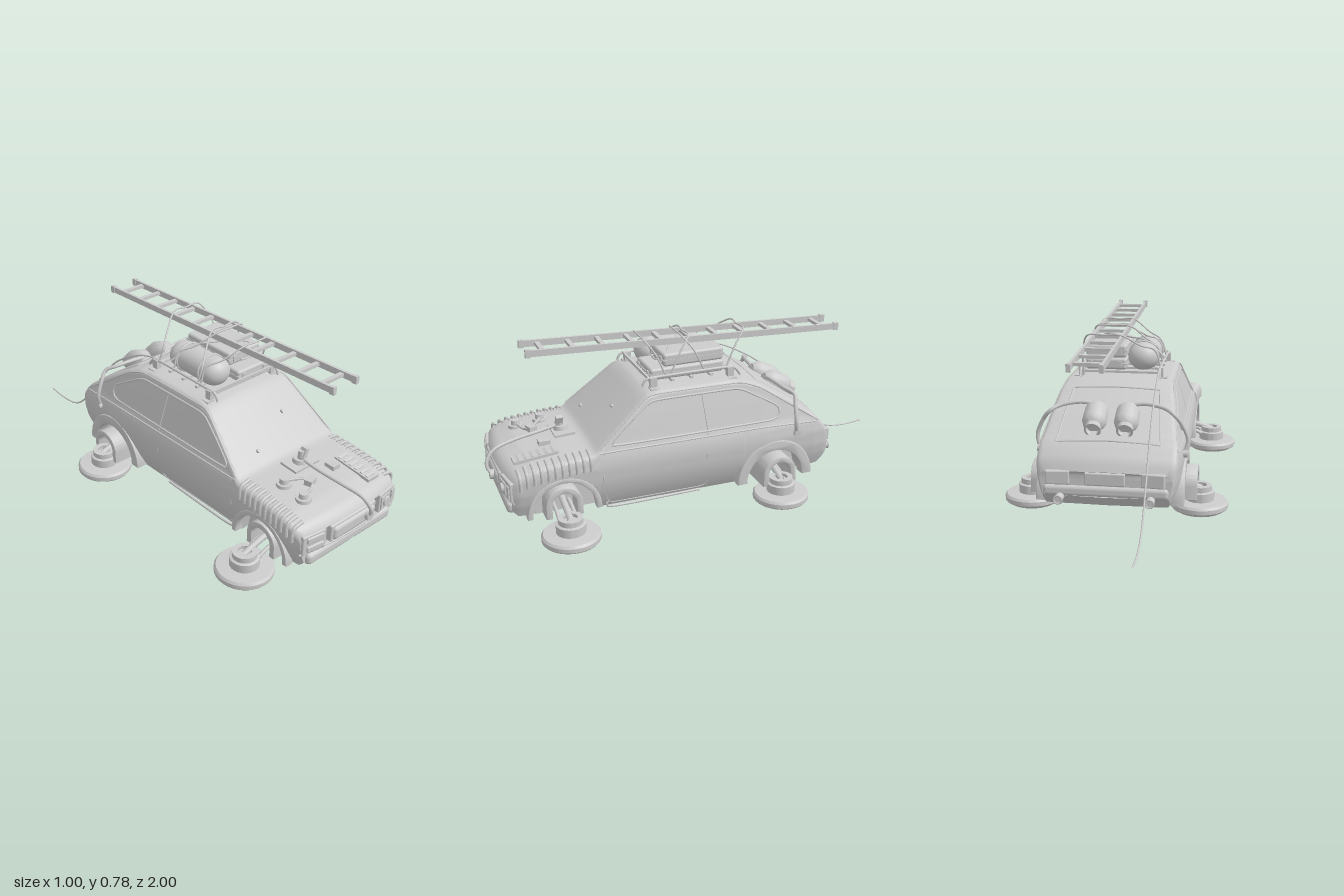
import * as THREE from 'three';
import { toCreasedNormals } from 'three/addons/utils/BufferGeometryUtils.js';
import { RoundedBoxGeometry } from 'three/addons/geometries/RoundedBoxGeometry.js';

const mat = new THREE.MeshStandardMaterial({ color: 0xcccccc, side: THREE.DoubleSide });
const V = (x, y, z) => new THREE.Vector3(x, y, z);

// Piecewise-linear lookup in a list of [position, value]
function look(t, p) {
  if (p <= t[0][0]) return t[0][1];
  for (let i = 1; i < t.length; i++) {
    if (p <= t[i][0]) {
      const k = (p - t[i - 1][0]) / (t[i][0] - t[i - 1][0]);
      return t[i - 1][1] + k * (t[i][1] - t[i - 1][1]);
    }
  }
  return t[t.length - 1][1];
}

// Body rules: top height and width scale along z, half width along y, lower edge along z
const TOP = [[-0.55, 0.25], [-0.53, 0.295], [-0.48, 0.345], [-0.34, 0.445], [-0.2, 0.53], [-0.13, 0.557], [-0.05, 0.566],
  [0.27, 0.566], [0.32, 0.555], [0.35, 0.536], [0.575, 0.348], [0.6, 0.343], [0.7, 0.338], [0.85, 0.322], [0.92, 0.3], [0.945, 0.283], [0.957, 0.262]];
const WIDTH = [[-0.55, 0.92], [-0.53, 0.96], [-0.45, 1.0], [-0.2, 1.04], [0.3, 1.0], [0.6, 0.98], [0.85, 0.98], [0.93, 0.96], [0.957, 0.92]];
const SIDE = [[0.065, 0.25], [0.1, 0.27], [0.15, 0.29], [0.2, 0.302], [0.27, 0.306], [0.32, 0.298], [0.35, 0.285], [0.45, 0.258], [0.53, 0.235], [0.57, 0.215]];
const BOTTOM = [[-0.55, 0.14], [-0.5, 0.09], [-0.42, 0.085], [-0.39, 0.067], [0.58, 0.067], [0.85, 0.095], [0.93, 0.1], [0.957, 0.125]];
const ARCHES = [{ z: 0.72, y: 0.095 }, { z: -0.25, y: 0.08 }];
const ARCH_R = 0.145;
const sideX = (z, y) => look(SIDE, y) * look(WIDTH, z);

function lowerEdge(z) {
  let y = look(BOTTOM, z);
  for (const a of ARCHES) {
    const d = Math.abs(z - a.z);
    if (d < ARCH_R) y = Math.max(y, a.y + Math.sqrt(ARCH_R ** 2 - d * d));
  }
  return y;
}

// Half section from the underside centre, up the side, over to the roof centre
function halfSection(z) {
  const yb = lowerEdge(z), T = look(TOP, z), r = 0.026, crown = 0.012;
  const pts = [[0, yb]], yr = Math.max(T - r - crown, yb + 0.002);
  for (let i = 0; i <= 18; i++) {
    const y = yb + (yr - yb) * i / 18;
    pts.push([sideX(z, y), y]);
  }
  const xe = sideX(z, yr) - r;
  for (let i = 1; i <= 5; i++) {
    const a = i / 5 * Math.PI / 2;
    pts.push([xe + r * Math.cos(a), yr + r * Math.sin(a)]);
  }
  for (let i = 1; i <= 6; i++) {
    const k = 1 - i / 6;
    pts.push([xe * k, yr + r + crown * (1 - k * k)]);
  }
  return pts;
}

function bodyGeometry() {
  const zs = [], pos = [], idx = [], n = 120;
  for (let i = 0; i <= n; i++) zs.push(-0.55 + 1.507 * i / n);
  const rows = zs.map(z => {
    const h = halfSection(z);
    const full = h.concat(h.slice(0, -1).reverse().map(([x, y]) => [-x, y]));
    const bend = z > 0.8 ? 0.03 * (z - 0.8) / 0.157 : z < -0.45 ? -0.02 * (-0.45 - z) / 0.1 : 0;
    return full.map(([x, y]) => [x, y, z - bend * (x / 0.3) ** 2]);
  });
  // Flat nose and tail caps
  rows.unshift(rows[0].map(([x, y, z]) => [0, y, z]));
  rows.push(rows[rows.length - 1].map(([x, y, z]) => [0, y, z]));
  const m = rows[0].length;
  rows.forEach(r => r.forEach(p => pos.push(...p)));
  for (let i = 0; i < rows.length - 1; i++) for (let j = 0; j < m - 1; j++) {
    const a = i * m + j, b = a + 1, c = a + m, d = c + 1;
    idx.push(a, b, c, b, d, c);
  }
  const g = new THREE.BufferGeometry();
  g.setAttribute('position', new THREE.Float32BufferAttribute(pos, 3));
  g.setIndex(idx);
  return toCreasedNormals(g, 0.6);
}

export function createModel() {
  const root = new THREE.Group();
  const add = (name, geo, x = 0, y = 0, z = 0, rx = 0, ry = 0, rz = 0) => {
    const m = new THREE.Mesh(geo, mat);
    m.name = name; m.position.set(x, y, z); m.rotation.set(rx, ry, rz);
    root.add(m);
    return m;
  };
  const box = (name, w, h, d, x, y, z, rx = 0, ry = 0, rz = 0) => add(name, new THREE.BoxGeometry(w, h, d), x, y, z, rx, ry, rz);
  const rbox = (name, w, h, d, r, x, y, z, rx = 0) => add(name, new RoundedBoxGeometry(w, h, d, 3, r), x, y, z, rx);
  const cyl = (name, r1, r2, h, x, y, z, rx = 0, rz = 0) => add(name, new THREE.CylinderGeometry(r1, r2, h, 24), x, y, z, rx, 0, rz);
  const tube = (name, pts, r, closed = false, tension = 0.5) => add(name, new THREE.TubeGeometry(
    new THREE.CatmullRomCurve3(pts.map(p => V(...p)), closed, 'catmullrom', tension), pts.length * 8, r, 8, closed));
  // Line lying on a body side, from [z, y] points
  const seam = (name, s, pts, r, closed) => tube(name, pts.map(([z, y]) => [s * sideX(z, y), y, z]), r, closed, 0.15);
  // Arch plate in the z-y plane, extruded outwards along x
  const arch = (name, s, z, y, ri, ro, x0, x1, leg = 0) => {
    const sh = new THREE.Shape();
    sh.moveTo(ro, -leg); sh.lineTo(ro, 0); sh.absarc(0, 0, ro, 0, Math.PI); sh.lineTo(-ro, -leg);
    sh.lineTo(-ri, -leg); sh.lineTo(-ri, 0); sh.absarc(0, 0, ri, Math.PI, 0, true); sh.lineTo(ri, -leg);
    const g = new THREE.ExtrudeGeometry(sh, { depth: x1 - x0, bevelEnabled: true, bevelSize: 0.005, bevelThickness: 0.005, bevelSegments: 2, curveSegments: 24 });
    g.rotateY(Math.PI / 2);
    return add(name, toCreasedNormals(g, 0.7), s > 0 ? x0 : -x1, y, z);
  };

  add('carBody', bodyGeometry());
  box('floorPan', 0.42, 0.19, 1.27, 0, 0.162, 0.2);

  // Hover pads: lathed disc with a hub and a recessed underside
  const pad = toCreasedNormals(new THREE.LatheGeometry([[0, 0.025], [0.06, 0.022], [0.065, 0.002], [0.1, 0], [0.106, 0.009], [0.12, 0.012], [0.125, 0.018],
    [0.125, 0.036], [0.117, 0.046], [0.063, 0.05], [0.063, 0.088], [0.052, 0.092], [0.052, 0.115], [0.03, 0.115], [0.03, 0.1], [0, 0.1]]
    .map(p => new THREE.Vector2(...p)), 48), 0.6);

  for (const s of [1, -1]) {
    const side = s > 0 ? 'left' : 'right';
    ARCHES.forEach((a, i) => {
      const n = side + (i ? 'Rear' : 'Front');
      add(n + 'HoverPad', pad, s * 0.375, 0, a.z);
      tube(n + 'PadArm', [[s * 0.38, 0.1, a.z], [s * 0.3, 0.125, a.z], [s * 0.2, 0.15, a.z]], 0.014);
      for (const d of [-0.035, 0.035]) tube(n + 'PadStrut', [[s * 0.34, 0.075, a.z + d], [s * 0.28, 0.1, a.z + d], [s * 0.2, 0.11, a.z + d]], 0.009);
      arch(n + 'PadHood', s, a.z, 0.125, 0.058, 0.075, i ? 0.21 : 0.2, i ? 0.362 : 0.285, 0.05);
      arch(n + 'ArchLip', s, a.z, a.y, ARCH_R - 0.003, ARCH_R + (i ? 0.034 : 0.01), 0.265, i ? 0.314 : 0.296);
    });
    // Door seams, window frame and sill
    seam(side + 'DoorSeam', s, [[0.08, 0.51], [0.07, 0.36], [0.08, 0.25], [0.07, 0.1], [0.11, 0.082], [0.5, 0.082], [0.535, 0.12], [0.55, 0.22], [0.54, 0.33]], 0.003);
    seam(side + 'WindowFrame', s, [[0.5, 0.36], [0.33, 0.505], [0.28, 0.518], [-0.07, 0.518], [-0.12, 0.505], [-0.27, 0.42], [-0.28, 0.385], [-0.23, 0.36]], 0.005, true);
    seam(side + 'Beltline', s, [[0.56, 0.335], [0.2, 0.335], [-0.2, 0.335], [-0.46, 0.32]], 0.004);
    seam(side + 'Gutter', s, [[0.56, 0.345], [0.335, 0.53], [0.28, 0.542], [-0.1, 0.54], [-0.2, 0.505], [-0.47, 0.325]], 0.004);
    tube(side + 'DoorCable', [[0.52, 0.1], [0.5, 0.066], [0.1, 0.066]].map(([z, y]) => [s * 0.262, y, z]), 0.006);

    // Ribbed louvres along the bonnet edges
    for (let i = 0; i < 11; i++) {
      const z = 0.6 + i * 0.03, T = look(TOP, z), w = sideX(z, T - 0.04);
      tube(side + 'BonnetLouvre', [[s * (w + 0.003), T - 0.075, z], [s * (w + 0.002), T - 0.035, z], [s * (w - 0.012), T - 0.012, z], [s * (w - 0.055), T - 0.003, z]], 0.008);
    }
    // Headlight units
    rbox(side + 'HeadlightFrame', 0.115, 0.09, 0.03, 0.006, s * 0.218, 0.217, 0.935).rotation.y = s * 0.14;
    if (s < 0) for (const y of [0.196, 0.238]) rbox('rightHeadlight', 0.085, 0.028, 0.02, 0.006, -0.215, y, 0.947).rotation.y = -0.14;
    else {
      box('leftHeadlight', 0.06, 0.06, 0.02, 0.2, 0.217, 0.948, 0, 0.14);
      cyl('brokenLamp', 0.02, 0.024, 0.02, 0.205, 0.217, 0.957, Math.PI / 2);
      box('leftIndicator', 0.025, 0.06, 0.02, 0.258, 0.217, 0.94, 0, 0.14);
    }
    // Rear lights, exhausts and bumper ends
    rbox(side + 'RearLight', 0.1, 0.06, 0.025, 0.006, s * 0.2, 0.22, -0.543).rotation.y = s * 0.1;
    cyl(side + 'Exhaust', 0.018, 0.018, 0.08, s * 0.19, 0.135, -0.545, Math.PI / 2);
    add(side + 'ExhaustRim', new THREE.TorusGeometry(0.017, 0.004, 8, 20), s * 0.19, 0.135, -0.585);

    // Thruster canister lying on the hatch, with its hose down to the rear wing
    const can = new THREE.LatheGeometry([[0, -0.08], [0.025, -0.08], [0.032, -0.072], [0.05, -0.045], [0.052, 0.03], [0.045, 0.05], [0.034, 0.06], [0.036, 0.085], [0.028, 0.085], [0.026, 0.065], [0, 0.06]]
      .map(p => new THREE.Vector2(...p)), 28);
    add(side + 'Thruster', toCreasedNormals(can, 0.6), s * 0.068, 0.435, -0.37, -Math.PI / 2 - 0.45);
    tube(side + 'ThrusterHose', [[s * 0.06, 0.475, -0.31], [s * 0.14, 0.485, -0.31], [s * 0.22, 0.475, -0.33], [s * 0.265, 0.455, -0.36],
      [s * 0.3, 0.41, -0.35], [s * 0.324, 0.35, -0.345], [s * 0.318, 0.305, -0.35], [s * 0.295, 0.28, -0.36]], 0.009);
    cyl(side + 'HoseSocket', 0.016, 0.016, 0.03, s * 0.31, 0.285, -0.355, 0, Math.PI / 2);

    // Roof rack rail and feet
    tube(side + 'RackRail', [[s * 0.178, 0.562, 0.33], [s * 0.178, 0.592, 0.31], [s * 0.178, 0.597, 0.25], [s * 0.178, 0.597, -0.05], [s * 0.178, 0.59, -0.1], [s * 0.178, 0.555, -0.13]], 0.006);
    for (const z of [0.28, -0.08]) {
      box(side + 'RackFoot', 0.025, 0.045, 0.03, s * 0.178, 0.575, z);
      box(side + 'RackClamp', 0.04, 0.012, 0.04, s * 0.19, 0.55, z);
    }
  }

  // Nose: bumper, grille and seam
  rbox('frontBumper', 0.5, 0.055, 0.06, 0.02, 0, 0.137, 0.925);
  rbox('grilleFrame', 0.27, 0.08, 0.03, 0.008, 0, 0.217, 0.946);
  rbox('grilleBar', 0.25, 0.066, 0.04, 0.019, 0, 0.215, 0.952);
  tube('noseSeam', [[-0.28, 0.17, 0.929], [-0.15, 0.17, 0.951], [0, 0.17, 0.958], [0.15, 0.17, 0.951], [0.28, 0.17, 0.929]], 0.004);

  // Bonnet equipment
  box('bonnetPlate', 0.14, 0.012, 0.09, 0, 0.344, 0.65, 0.06);
  cyl('pipeBase', 0.03, 0.036, 0.025, 0, 0.355, 0.65);
  cyl('pipeStem', 0.013, 0.016, 0.05, 0, 0.38, 0.655);
  box('pipeLever', 0.02, 0.05, 0.03, 0.008, 0.39, 0.66, 0, 0, -0.4);
  tube('frontPipe', [[0, 0.37, 0.66], [0.005, 0.355, 0.74], [0.02, 0.34, 0.86], [0.04, 0.32, 0.95], [0.055, 0.28, 0.99], [0.066, 0.24, 0.99], [0.072, 0.222, 0.96]], 0.008);
  cyl('pipeSocket', 0.02, 0.022, 0.025, 0.072, 0.22, 0.975, Math.PI / 2);
  for (const [z, y] of [[0.71, 0.338], [0.82, 0.326]]) {
    cyl('fillerCollar', 0.032, 0.034, 0.014, -0.155, y, z);
    cyl('fillerCap', 0.018, 0.022, 0.035, -0.155, y + 0.01, z);
  }
  box('bonnetValve', 0.045, 0.025, 0.035, -0.065, 0.342, 0.77, 0, 0.3);
  tube('valveHose', [[-0.155, 0.35, 0.71], [-0.11, 0.352, 0.73], [-0.065, 0.348, 0.77], [-0.09, 0.335, 0.8], [-0.155, 0.34, 0.82]], 0.006);
  box('bonnetClip', 0.04, 0.02, 0.05, 0.09, 0.34, 0.75);
  box('bonnetVent', 0.065, 0.014, 0.19, 0.175, 0.325, 0.81, 0.1);
  for (let i = 0; i < 6; i++) box('ventSlat', 0.05, 0.008, 0.012, 0.175, 0.34 - i * 0.003, 0.735 + i * 0.03, 0.4);
  for (const [x, y, z] of [[-0.125, 0.39, 0.526], [0.095, 0.46, 0.443]]) cyl('windscreenStud', 0.008, 0.008, 0.016, x, y, z, 0.85);

  // Tail: hatch outline, number panel and bumper
  const hatch = [[-0.19, -0.2], [0.19, -0.2], [0.22, -0.46], [-0.22, -0.46]];
  tube('hatchSeam', hatch.flatMap(([x, z], i) => [0, 0.1, 0.5, 0.9].map(k => {
    const [x2, z2] = hatch[(i + 1) % 4], zz = z + (z2 - z) * k, xx = x + (x2 - x) * k;
    return [xx, look(TOP, zz) - 0.012 * (xx / 0.22) ** 2, zz];
  })), 0.005, true, 0.2);
  rbox('rearPanel', 0.17, 0.055, 0.02, 0.006, 0, 0.22, -0.549);
  rbox('rearBumper', 0.53, 0.05, 0.05, 0.018, 0, 0.16, -0.52);

  // Rack crossbars and luggage
  for (let i = 0; i < 5; i++) box('rackCrossbar', 0.36, 0.01, 0.014, 0, 0.573, -0.08 + i * 0.09);
  box('rackFrontBar', 0.36, 0.01, 0.01, 0, 0.597, 0.3);
  for (const [y, h, d, z] of [[0.601, 0.052, 0.34, 0.115], [0.659, 0.058, 0.28, 0.085]]) {
    rbox('suitcase', 0.185, h, d, 0.012, 0.072, y, z);
    box('suitcaseBand', 0.19, 0.006, d + 0.005, 0.072, y, z);
    for (const x of [0.012, 0.132]) box('suitcaseLatch', 0.02, 0.025, d + 0.012, x, y, z);
    tube('suitcaseHandle', [[0.045, y - 0.01, z + d / 2], [0.045, y - 0.01, z + d / 2 + 0.015], [0.1, y - 0.01, z + d / 2 + 0.015], [0.1, y - 0.01, z + d / 2]], 0.004);
  }
  const bag = add('dufflebag', new THREE.CapsuleGeometry(0.062, 0.2, 10, 28), -0.09, 0.628, 0.11, Math.PI / 2);
  bag.scale.x = 1.12;
  for (const z of [0.04, 0.18]) add('bagStrap', new THREE.TorusGeometry(0.064, 0.005, 8, 32), -0.09, 0.628, z).scale.x = 1.1;

  // Ladder tilted along the roof
  const tilt = -Math.atan2(0.058, 1.45);
  const ladder = new THREE.Group();
  ladder.name = 'ladder';
  ladder.position.set(0.062, 0.73, 0.083);
  ladder.rotation.x = tilt;
  const part = (name, w, h, d, x, z) => {
    const m = new THREE.Mesh(new THREE.BoxGeometry(w, h, d), mat);
    m.name = name; m.position.set(x, 0, z); ladder.add(m);
  };
  for (const x of [-0.066, 0.066]) {
    part('ladderRail', 0.012, 0.028, 1.45, x, 0);
    for (const z of [-0.715, 0.715]) part('railCap', 0.018, 0.034, 0.024, x, z);
  }
  for (let i = 0; i < 11; i++) part('ladderRung', 0.13, 0.014, 0.02, 0, -0.65 + i * 0.13);
  root.add(ladder);

  // Ropes lashing the load
  const lash = (z0, z1) => tube('rope', [[-0.178, 0.595, z0], [-0.15, 0.67, z0], [-0.09, 0.7, (z0 + z1) / 2], [-0.01, 0.752, z1], [0.06, 0.752, z1],
    [0.135, 0.75, z1], [0.165, 0.69, (z0 + z1) / 2], [0.178, 0.595, z0]], 0.004);
  lash(0.22, 0.3); lash(0.2, 0.1); lash(0.04, 0.13); lash(-0.06, -0.16);
  tube('looseRope', [[-0.18, 0.63, 0.02], [-0.1, 0.69, 0.06], [-0.02, 0.7, 0.1], [0.1, 0.7, 0.18], [0.165, 0.66, 0.22]], 0.004);

  // Trailing cable
  tube('trailingCable', [[-0.175, 0.595, -0.06], [-0.176, 0.59, -0.13], [-0.177, 0.55, -0.24], [-0.177, 0.45, -0.4], [-0.177, 0.31, -0.53], [-0.177, 0.19, -0.63],
    [-0.177, 0.09, -0.72], [-0.177, 0.045, -0.8], [-0.177, 0.034, -0.9], [-0.177, 0.042, -1.0]], 0.004);
  return root;
}
